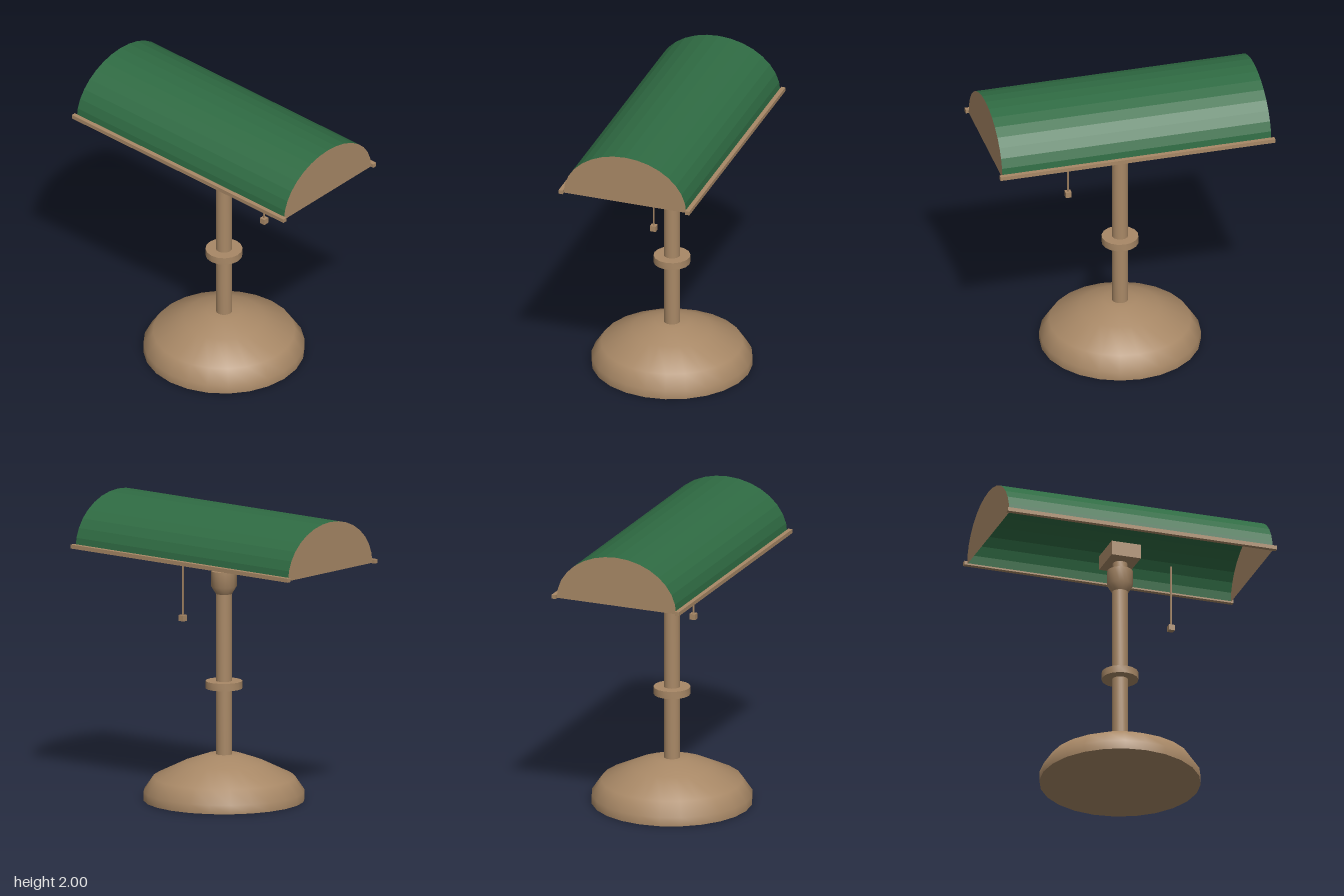
import * as THREE from 'three';
import { toCreasedNormals } from 'three/addons/utils/BufferGeometryUtils.js';

export function createModel() {
  const lamp = new THREE.Group();
  lamp.name = 'deskLamp';

  const brass = new THREE.MeshStandardMaterial({ color: 0xa88866 });
  const brassSheet = new THREE.MeshStandardMaterial({ color: 0xa88866, side: THREE.DoubleSide });
  const green = new THREE.MeshStandardMaterial({ color: 0x2f6b43, side: THREE.DoubleSide, flatShading: true });

  const add = (name, geometry, material = brass) => {
    const mesh = new THREE.Mesh(geometry, material);
    mesh.name = name;
    lamp.add(mesh);
    return mesh;
  };
  // Turned part from [radius, height] pairs, bottom to top
  const turned = (name, profile, sides) => {
    const points = profile.map(([r, y]) => new THREE.Vector2(r, y));
    return add(name, toCreasedNormals(new THREE.LatheGeometry(points, sides), 0.7));
  };
  const box = (name, size, position) =>
    add(name, new THREE.BoxGeometry(...size)).position.set(...position);

  // Domed foot, stem, decorative collar and flared socket
  turned('base', [[0, 0], [0.54, 0], [0.54, 0.06], [0.475, 0.155], [0.27, 0.255], [0.115, 0.31], [0, 0.31]], 24);
  turned('stem', [[0.055, 0.3], [0.055, 1.41]], 16);
  turned('collar', [[0, 0.757], [0.124, 0.757], [0.124, 0.808], [0, 0.808]], 16);
  turned('socket', [[0.055, 1.4], [0.086, 1.45], [0.086, 1.555], [0.05, 1.555], [0.05, 1.62]], 16);
  box('shadeMount', [0.205, 0.1, 0.26], [0, 1.66, 0]);

  // Half-elliptical shade, open underneath
  const rimY = 1.66, shadeHeight = 0.34, halfDepth = 0.435, halfLength = 0.93;
  const shade = new THREE.CylinderGeometry(1, 1, halfLength * 2, 16, 1, true, 0, Math.PI);
  shade.rotateZ(Math.PI / 2).scale(1, shadeHeight, halfDepth).translate(0, rimY, 0);
  add('shade', shade, green);

  for (const side of [-1, 1]) {
    // End plate
    const plate = new THREE.CircleGeometry(1, 16, 0, Math.PI);
    plate.scale(halfDepth, shadeHeight, 1).rotateY(side * Math.PI / 2).translate(side * halfLength, rimY, 0);
    add(side > 0 ? 'leftEndPlate' : 'rightEndPlate', plate, brassSheet);
    // Trim strip along the long edge
    box(side > 0 ? 'frontTrim' : 'backTrim', [1.9, 0.027, 0.03], [0, 1.67, side * 0.449]);
  }

  // Pull chain with its knob
  const chain = new THREE.CylinderGeometry(0.006, 0.006, 0.45, 8);
  add('pullChain', chain).position.set(0.36, 1.42, 0);
  box('pullKnob', [0.04, 0.04, 0.04], [0.36, 1.19, 0]);

  return lamp;
}
